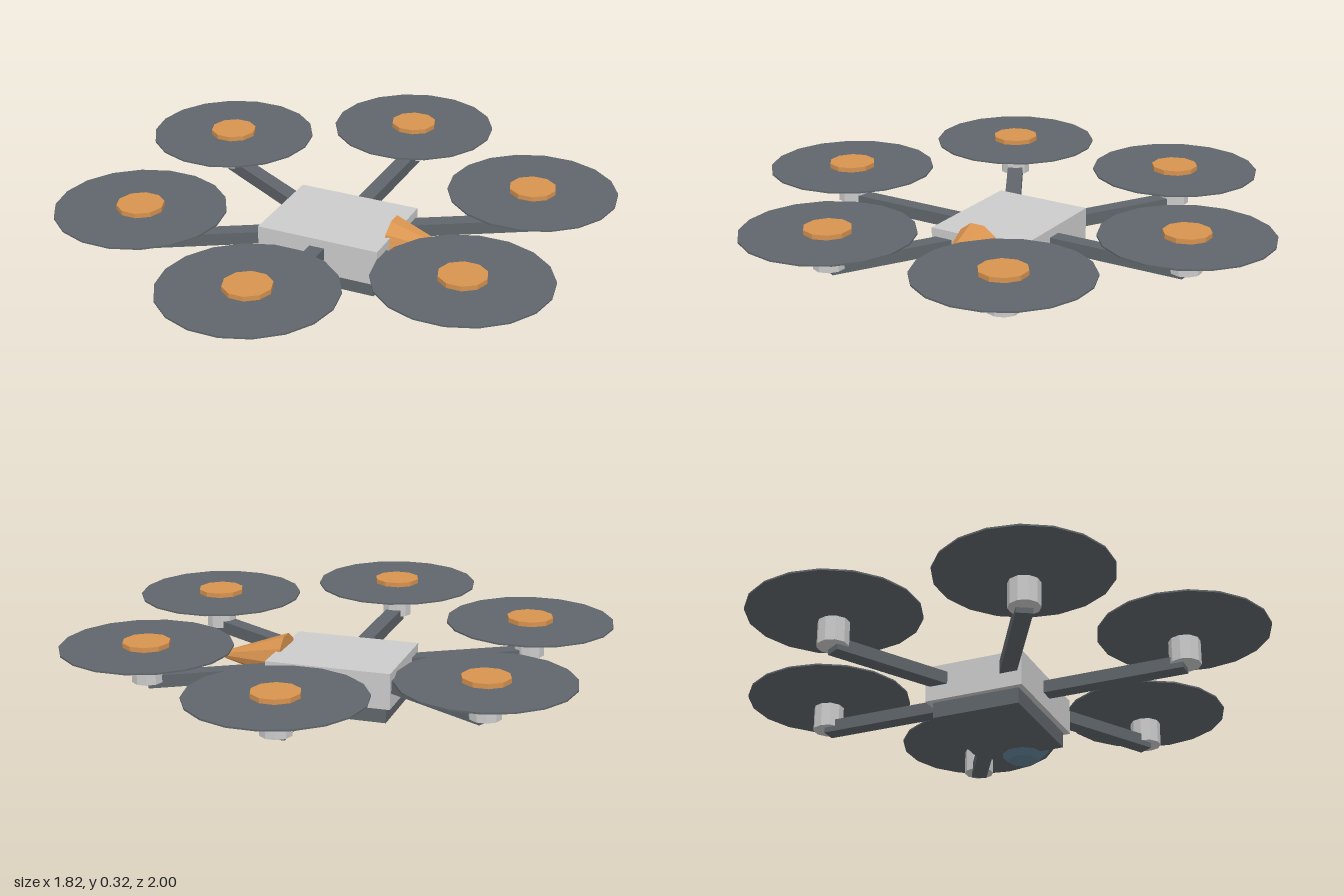
import * as THREE from 'three';

const paint = (color) => new THREE.MeshStandardMaterial({ color, flatShading: true });

export function createModel() {
  const model = new THREE.Group();
  const grey = paint(0xcccccc);
  const dark = paint(0x60666c);
  const orange = paint(0xd8934f);
  const glass = paint(0x5f7f92);

  const add = (parent, name, geometry, material, x, y, z) => {
    const mesh = new THREE.Mesh(geometry, material);
    mesh.name = name;
    mesh.position.set(x, y, z);
    parent.add(mesh);
    return mesh;
  };

  // Upright prism with two corners on the x axis
  const disc = (radius, height, sides) =>
    new THREE.CylinderGeometry(radius, radius, height, sides).rotateY(Math.PI / 2);

  // Hull and the battery slung under it
  add(model, 'body', new THREE.BoxGeometry(0.46, 0.132, 0.366), grey, 0, 0.161, 0);
  add(model, 'bellyPack', new THREE.BoxGeometry(0.42, 0.065, 0.325), dark, 0, 0.069, 0);

  // Slightly drooping nose cone, pointing along +x
  const nose = new THREE.CylinderGeometry(0.015, 0.087, 0.24, 10).rotateZ(-Math.PI / 2);
  add(model, 'noseCone', nose, orange, 0.33, 0.18, 0).rotation.z = -0.06;

  // Ball camera under the nose
  const ball = new THREE.SphereGeometry(0.11, 10, 6).rotateY(Math.PI / 2);
  add(model, 'camera', ball, glass, 0.22, 0.11, 0);

  // Six arms, each with a motor, rotor disc and hub cap
  const reach = 0.7;
  const armGeometry = new THREE.BoxGeometry(reach, 0.046, 0.058);
  const motorGeometry = disc(0.056, 0.09, 10);
  const rotorGeometry = disc(0.305, 0.006, 18);
  const hubGeometry = disc(0.085, 0.022, 10);
  for (let i = 0; i < 6; i++) {
    const angle = Math.PI / 6 + (i * Math.PI) / 3;
    const x = Math.cos(angle) * reach;
    const z = Math.sin(angle) * reach;
    const unit = new THREE.Group();
    unit.name = 'rotorUnit' + (i + 1);
    model.add(unit);
    add(unit, 'arm', armGeometry, dark, x / 2, 0.173, z / 2).rotation.y = -angle;
    add(unit, 'motor', motorGeometry, grey, x, 0.215, z);
    add(unit, 'rotorDisc', rotorGeometry, dark, x, 0.297, z);
    add(unit, 'hubCap', hubGeometry, orange, x, 0.306, z);
  }
  return model;
}
